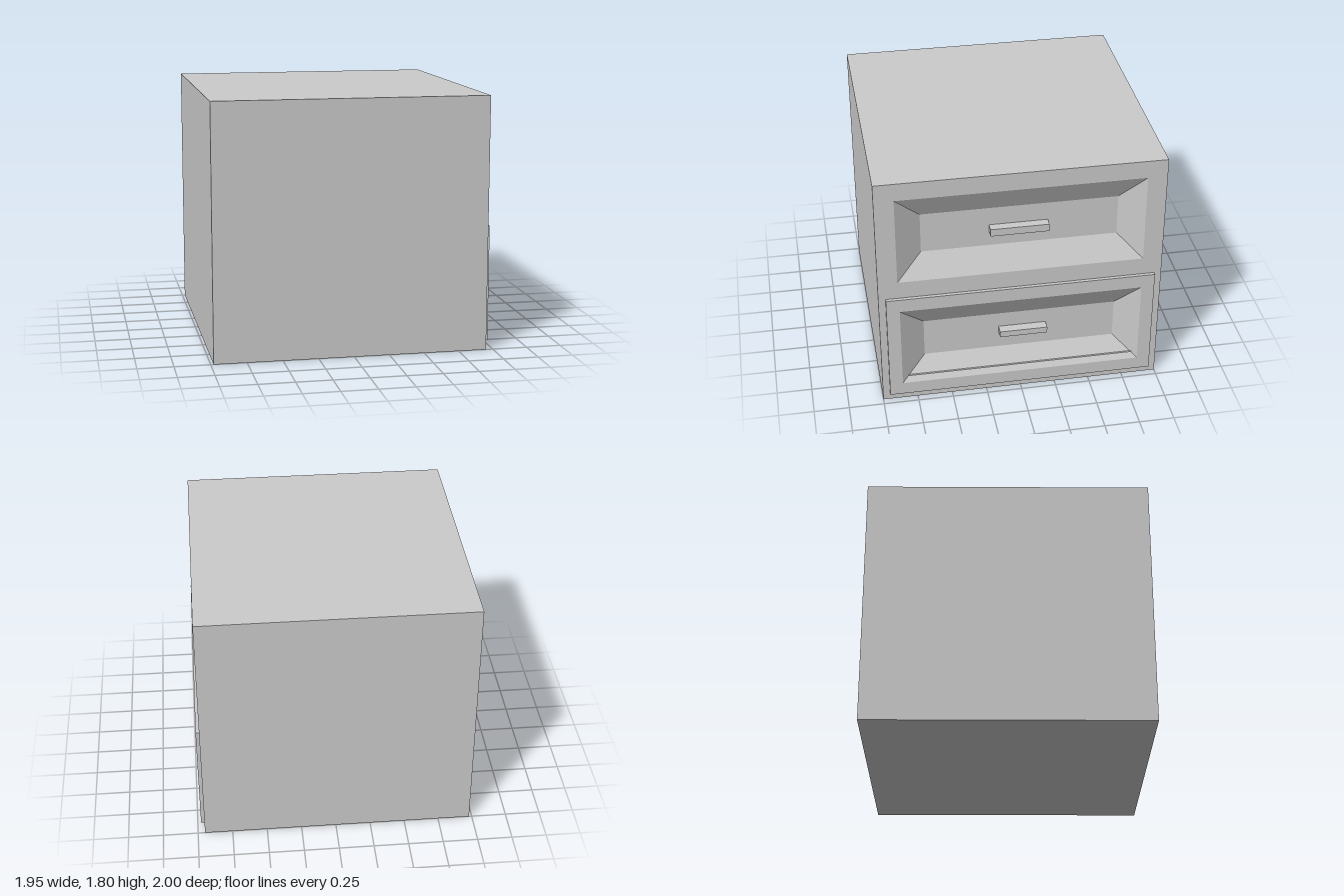
import * as THREE from 'three';

const material = new THREE.MeshStandardMaterial({ color: 0xcccccc, flatShading: true });

function addMesh(parent, name, geometry) {
  const mesh = new THREE.Mesh(geometry, material);
  mesh.name = name;
  parent.add(mesh);
}

// Box given by its limits; skipFaces drops the +x face (1) or both x faces (2)
function box(x0, x1, y0, y1, z0, z1, skipFaces = 0) {
  const g = new THREE.BoxGeometry(x1 - x0, y1 - y0, z1 - z0);
  g.translate((x0 + x1) / 2, (y0 + y1) / 2, (z0 + z1) / 2);
  g.setIndex(Array.from(g.index.array).slice(skipFaces * 6));
  g.clearGroups();
  return g;
}

// Corners of a rectangle { w: half width, y0, y1 }, counter-clockwise
const corners = (r) => [[-r.w, r.y0], [r.w, r.y0], [r.w, r.y1], [-r.w, r.y1]];
const points = (r) => corners(r).map(([u, v]) => new THREE.Vector2(u, v));

// Flat face looking along +x, with rectangular openings
function facePlate(rect, openings, x) {
  const shape = new THREE.Shape(points(rect));
  shape.holes = openings.map((o) => new THREE.Path(points(o).reverse()));
  return new THREE.ShapeGeometry(shape).rotateY(Math.PI / 2).translate(x, 0, 0);
}

// Sunken panel: four sloping sides down to a flat floor
function recess(outer, inner, xFront, xFloor) {
  const o = corners(outer).map(([u, v]) => [u, v, xFront]);
  const i = corners(inner).map(([u, v]) => [u, v, xFloor]);
  const position = [];
  const quad = (a, b, c, d) => position.push(...a, ...b, ...c, ...a, ...c, ...d);
  for (let k = 0; k < 4; k++) {
    const n = (k + 1) % 4;
    quad(o[k], o[n], i[n], i[k]);
  }
  quad(...i);
  const g = new THREE.BufferGeometry();
  g.setAttribute('position', new THREE.Float32BufferAttribute(position, 3));
  g.computeVertexNormals();
  return g.rotateY(Math.PI / 2);
}

export function createModel() {
  const model = new THREE.Group();
  model.name = 'drawerCabinet';

  const front = 0.95, lowerFront = 0.975;
  const upperOuter = { w: 0.863, y0: 1.01, y1: 1.67 };
  const upperInner = { w: 0.685, y0: 1.19, y1: 1.49 };
  const lowerOuter = { w: 0.857, y0: 0.15, y1: 0.78 };
  const lowerInner = { w: 0.685, y0: 0.32, y1: 0.61 };

  // Cabinet carcass, its drawer side opened for the recesses
  const cabinet = new THREE.Group();
  cabinet.name = 'cabinet';
  addMesh(cabinet, 'cabinetShell', box(-0.98, front, 0, 1.8, -1, 1, 1));
  addMesh(cabinet, 'drawerSideFace', facePlate({ w: 1, y0: 0, y1: 1.8 }, [upperOuter, lowerOuter], front));
  model.add(cabinet);

  // Upper drawer, sunk flush into the carcass
  const upper = new THREE.Group();
  upper.name = 'upperDrawer';
  addMesh(upper, 'upperRecess', recess(upperOuter, upperInner, front, 0.862));
  addMesh(upper, 'upperHandle', box(0.855, 0.925, 1.3, 1.355, -0.195, 0.213));
  model.add(upper);

  // Lower drawer, standing slightly proud
  const lower = new THREE.Group();
  lower.name = 'lowerDrawer';
  addMesh(lower, 'lowerDrawerEdge', box(front, lowerFront, 0.055, 0.88, -0.95, 0.95, 2));
  addMesh(lower, 'lowerDrawerFace', facePlate({ w: 0.95, y0: 0.055, y1: 0.88 }, [lowerOuter], lowerFront));
  addMesh(lower, 'lowerRecess', recess(lowerOuter, lowerInner, lowerFront, 0.882));
  addMesh(lower, 'lowerHandle', box(0.875, 0.95, 0.45, 0.496, -0.19, 0.15));
  // Thin step along the bottom slope
  addMesh(lower, 'lowerRecessLedge', box(0.93, 0.96, 0.195, 0.2, -0.815, 0.815));
  model.add(lower);

  return model;
}
